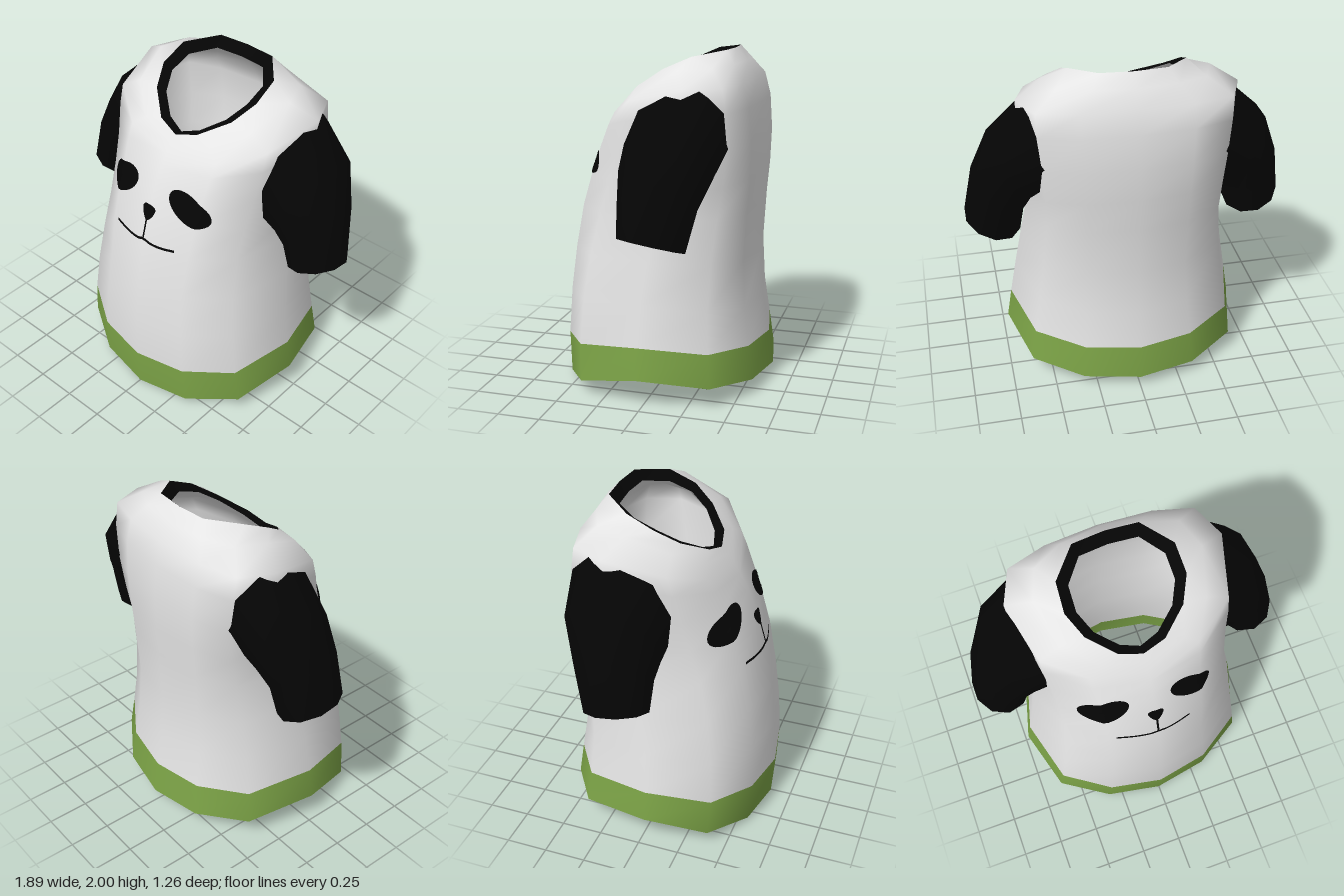
import * as THREE from 'three';

const white = new THREE.MeshStandardMaterial({ color: 0xe5e5e5 });
const black = new THREE.MeshStandardMaterial({ color: 0x050505 });
const green = new THREE.MeshStandardMaterial({ color: 0x7ba246 });
white.name = 'white cloth';
black.name = 'black cloth';
green.name = 'green cloth';

// Skins a list of closed rings; materialOf(row) picks a material index per row
function loft(rings, materialOf) {
  const n = rings[0].length, index = [];
  const geo = new THREE.BufferGeometry().setFromPoints(rings.flat());
  for (let i = 0; i < rings.length - 1; i++) {
    for (let k = 0; k < n; k++) {
      const a = i * n + k, b = i * n + (k + 1) % n;
      index.push(a, b, b + n, a, b + n, a + n);
    }
    if (materialOf) geo.addGroup(i * n * 6, n * 6, materialOf(i));
  }
  geo.setIndex(index);
  geo.computeVertexNormals();
  return geo;
}

function addMesh(parent, name, geo, material) {
  const mesh = new THREE.Mesh(geo, material);
  mesh.name = name;
  parent.add(mesh);
  return mesh;
}

// Body levels: half width, front z/y, side z/y, back z/y, front and back squareness
const LEVELS = [
  [0.73, 0.62, 0.005, 0.03, 0.18, -0.63, 0.085, 0.7, 0.68],
  [0.70, 0.635, 0.26, 0.03, 0.365, -0.60, 0.29, 0.7, 0.68],
  [0.66, 0.62, 0.55, 0.02, 0.60, -0.56, 0.52, 0.7, 0.65],
  [0.62, 0.59, 0.82, -0.02, 0.85, -0.54, 0.80, 0.7, 0.62],
  [0.585, 0.54, 1.08, -0.07, 1.08, -0.55, 1.10, 0.72, 0.6],
  [0.59, 0.475, 1.30, -0.12, 1.25, -0.56, 1.30, 0.72, 0.55],
  [0.605, 0.415, 1.45, -0.16, 1.45, -0.56, 1.50, 0.72, 0.5],
  [0.625, 0.365, 1.54, -0.20, 1.68, -0.54, 1.70, 0.7, 0.5],
  [0.63, 0.325, 1.60, -0.22, 1.82, -0.50, 1.83, 0.7, 0.5],
  [0.48, 0.285, 1.65, -0.15, 1.905, -0.44, 1.93, 0.8, 0.7],
];

function bodyRing([w, zf, yf, zs, ys, zb, yb, pf, pb]) {
  return Array.from({ length: 12 }, (_, k) => {
    const a = k * Math.PI / 6, c = Math.cos(a), s = Math.sin(a), m = Math.abs(c);
    const front = c > 0;
    const x = w * Math.sign(s) * Math.pow(Math.abs(s), ys < 1 ? 1.12 : 1);
    const y = ys + ((front ? yf : yb) - ys) * Math.pow(m, ys > 1.6 ? 1.4 : 1);
    const z = zs + ((front ? zf : zb) - zs) * Math.pow(m, front ? pf : pb);
    return new THREE.Vector3(x, y, z);
  });
}

// Lining level: the body level moved inward by the cloth thickness
function liningLevel([w, zf, yf, zs, ys, zb, yb, pf, pb], i) {
  const drop = i > 7 ? 0.045 : i === 0 ? 0.025 : 0;
  return [w - 0.062, zf - 0.055, yf, zs, ys - drop, zb + 0.055, yb - drop, pf, pb];
}

// Neckline: left half from front to back, mirrored into a ring
function neckRing(half) {
  const left = half.map(p => new THREE.Vector3(...p));
  const right = left.slice(1, -1).reverse().map(p => new THREE.Vector3(-p.x, p.y, p.z));
  return [...left, ...right];
}
const NECK_OUTER = neckRing([[0, 1.69, 0.25], [0.135, 1.73, 0.22], [0.28, 1.815, 0.1],
  [0.345, 1.9, -0.03], [0.335, 1.97, -0.19], [0.19, 2, -0.355], [0, 2, -0.37]]);
const NECK_INNER = neckRing([[0, 1.685, 0.2], [0.11, 1.725, 0.17], [0.225, 1.8, 0.08],
  [0.28, 1.87, -0.03], [0.275, 1.92, -0.17], [0.17, 1.945, -0.3], [0, 1.945, -0.315]]);

// Sleeve levels: outer x/y, inner x/y, centre z, half depth, backward lean, tilt
const SLEEVE = [
  [0.60, 1.82, 0.54, 1.19, -0.155, 0.295, 0.06, 0],
  [0.79, 1.60, 0.57, 1.16, -0.145, 0.27, 0.05, 0],
  [0.89, 1.35, 0.61, 1.09, -0.115, 0.225, 0.03, 0.02],
  [0.945, 1.045, 0.635, 0.955, -0.09, 0.195, 0, 0.03],
];

function sleeveRing([ox, oy, ix, iy, cz, hz, lean, tilt], side, scale) {
  return Array.from({ length: 10 }, (_, k) => {
    const t = (k + 0.5) * Math.PI / 5;
    const c = Math.cos(t) / 0.951 * scale, s = Math.sin(t) * scale;
    const x = (ox + ix + (ox - ix) * c) / 2;
    const y = (oy + iy + (oy - iy) * c) / 2 + tilt * s;
    return new THREE.Vector3(side * x, y, cz + hz * s - lean * c);
  });
}

export function createModel() {
  const shirt = new THREE.Group();
  shirt.name = 'shirt';

  // Body shell with coloured hem, lining and rims
  const outer = [...LEVELS.map(bodyRing), NECK_OUTER];
  const inner = [...LEVELS.map((l, i) => bodyRing(liningLevel(l, i))), NECK_INNER];
  const top = LEVELS.length;
  const body = addMesh(shirt, 'body', loft(outer, i => (i === 0 ? 1 : 0)), [white, green]);
  addMesh(shirt, 'lining', loft([...inner].reverse(), i => (i === top - 1 ? 1 : 0)), [white, green]);
  addMesh(shirt, 'hemRim', loft([inner[0], outer[0]]), green);
  addMesh(shirt, 'collar', loft([NECK_OUTER, NECK_INNER]), black);

  // Casts a ray onto the body, to seat the sleeves and the face on it
  const ray = new THREE.Raycaster();
  body.updateMatrixWorld();
  const castOnBody = (origin, direction) => {
    ray.set(origin, direction);
    const hit = ray.intersectObject(body, false)[0];
    return hit ? hit.point : null;
  };

  // Sleeves: the first ring follows the body surface as the shoulder seam
  function addSleeve(name, side) {
    const sleeve = new THREE.Group();
    sleeve.name = name;
    shirt.add(sleeve);
    const inward = new THREE.Vector3(-side, 0, 0);
    const rings = scale => SLEEVE.map((level, i) => {
      const ring = sleeveRing(level, side, scale);
      if (i > 0) return ring;
      return ring.map(p => {
        const seat = castOnBody(new THREE.Vector3(side * 3, p.y, p.z), inward);
        return seat ? seat.addScaledVector(inward, 0.006) : p;
      });
    });
    const skin = list => loft(side > 0 ? list : [...list].reverse());
    const outside = rings(1), inside = rings(0.85);
    addMesh(sleeve, 'sleeveOutside', skin(outside), black);
    addMesh(sleeve, 'cuffRim', skin([outside[3], inside[3]]), black);
    addMesh(sleeve, 'sleeveLining', skin([...inside].reverse()), black);
  }
  addSleeve('leftSleeve', 1);
  addSleeve('rightSleeve', -1);

  // Face pieces lie just above the chest
  const toBack = new THREE.Vector3(0, 0, -1);
  const onChest = ([x, y]) => {
    const p = castOnBody(new THREE.Vector3(x, y, 3), toBack);
    p.z += 0.007;
    return p;
  };

  function addSpot(name, cx, cy, outline) {
    const rings = [1, 0.8, 0.6, 0.4, 0.2, 0.001].map(s =>
      Array.from({ length: 32 }, (_, k) => {
        const [x, y] = outline(k * Math.PI / 16);
        return onChest([cx + x * s, cy + y * s]);
      }));
    addMesh(shirt, name, loft(rings), black);
  }

  const eye = (a, b, tilt) => t => {
    const u = a * Math.cos(t), v = b * Math.sin(t);
    return [u * Math.cos(tilt) - v * Math.sin(tilt), u * Math.sin(tilt) + v * Math.cos(tilt)];
  };
  addSpot('rightEyePatch', -0.283, 1.355, eye(0.15, 0.08, 0.45));
  addSpot('leftEyePatch', 0.235, 1.367, eye(0.142, 0.073, -0.47));
  addSpot('nose', -0.003, 1.285, t => [
    0.045 * Math.cos(t) * (1 + 0.35 * Math.sin(t)),
    (Math.sin(t) > 0 ? 0.04 : 0.055) * Math.sin(t),
  ]);

  // Thin drawn lines: a closed strip around a centre curve
  function addLine(name, points, half) {
    const curve = new THREE.CatmullRomCurve3(points.map(([x, y]) => new THREE.Vector3(x, y, 0)));
    const mid = curve.getPoints(20);
    const offset = d => mid.map((p, i) => {
      const g = curve.getTangent(i / 20);
      return [p.x - g.y * d, p.y + g.x * d];
    });
    const edge = [...offset(-half), ...offset(half).reverse()].map(onChest);
    const centre = [...offset(0), ...offset(0).reverse()].map(onChest);
    addMesh(shirt, name, loft([edge, centre]), black);
  }
  addLine('noseStem', [[-0.003, 1.25], [-0.003, 1.18], [-0.003, 1.11]], 0.006);
  addLine('mouth', [[-0.25, 1.103], [-0.14, 1.092], [-0.05, 1.098], [0, 1.115],
    [0.05, 1.1], [0.12, 1.096], [0.205, 1.106]], 0.007);

  return shirt;
}
